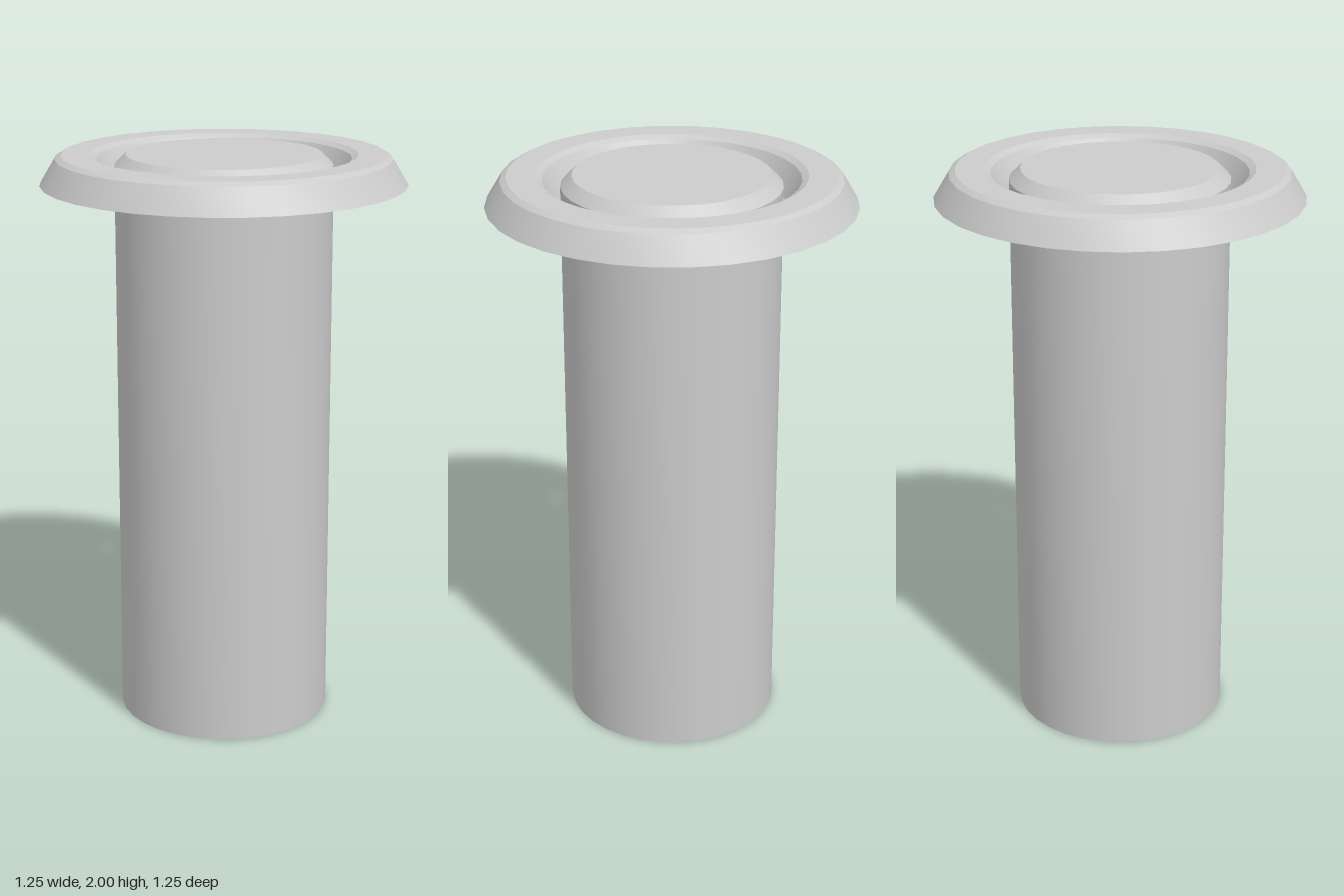
import * as THREE from 'three';
import { toCreasedNormals } from 'three/addons/utils/BufferGeometryUtils.js';

const SIDES = 32;

// Turned part from [radius, height] pairs, smooth around and crisp at profile corners
function turned(name, profile, side = THREE.FrontSide) {
  const points = profile.map(([r, y]) => new THREE.Vector2(r, y));
  const geometry = toCreasedNormals(new THREE.LatheGeometry(points, SIDES), 0.35);
  const mesh = new THREE.Mesh(geometry, new THREE.MeshStandardMaterial({ color: 0xcccccc, side }));
  mesh.name = name;
  return mesh;
}

export function createModel() {
  const model = new THREE.Group();
  model.name = 'collaredPin';

  // Solid shaft with a chamfered top
  model.add(turned('shaft', [[0, 0], [0.372, 0], [0.372, 1.963], [0.334, 2], [0, 2]]));

  // Thin collar, open below: outer slope, bevelled flat top, inner funnel
  model.add(turned('collar', [
    [0.626, 1.9], [0.573, 1.988], [0.552, 2],
    [0.455, 2], [0.433, 1.988], [0.379, 1.9],
  ], THREE.DoubleSide));

  return model;
}
